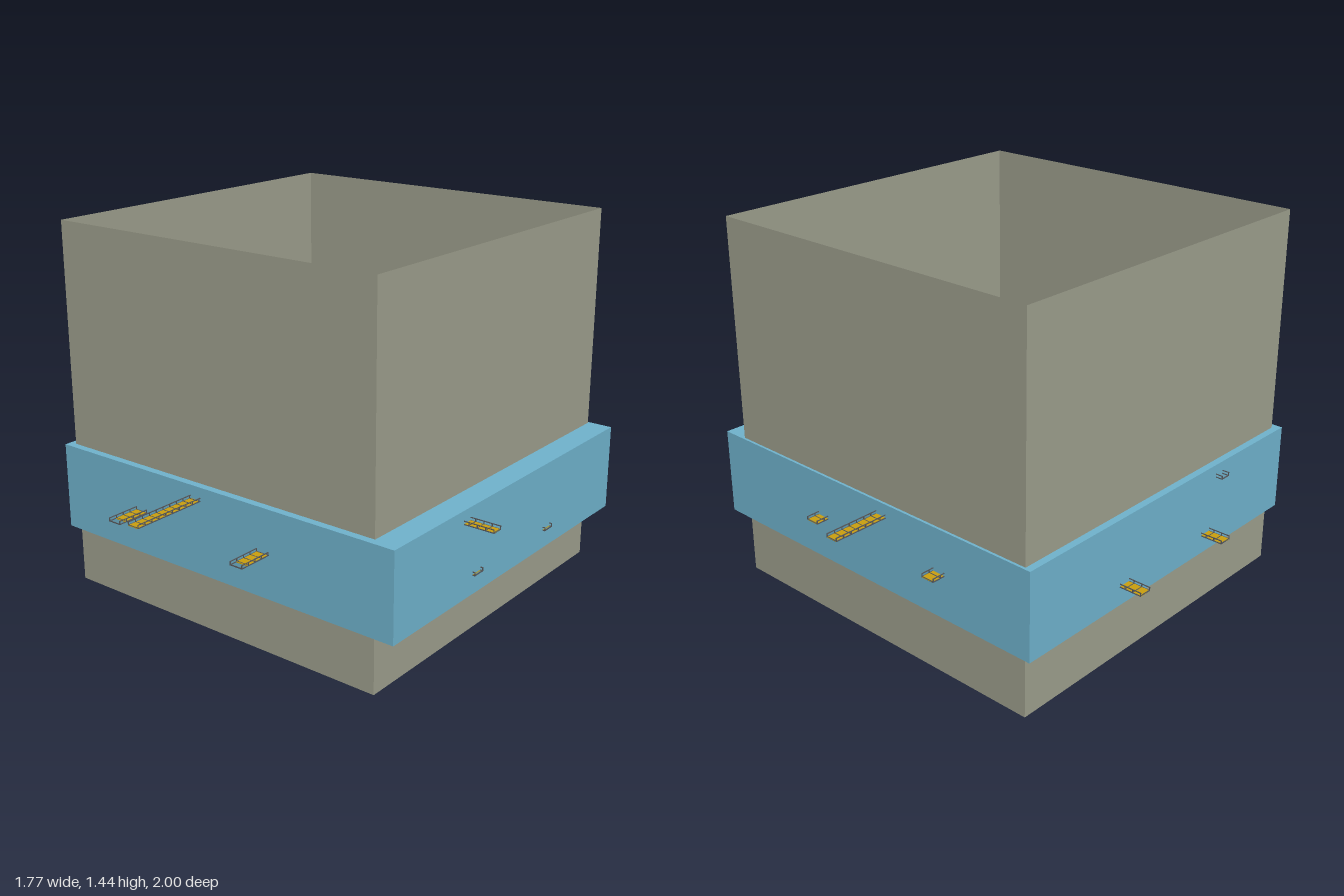
import * as THREE from 'three';

const mat = (name, color, side = THREE.FrontSide) => {
  const m = new THREE.MeshStandardMaterial({ color, side });
  m.name = name;
  return m;
};

export function createModel() {
  const model = new THREE.Group();
  const concrete = mat('concrete', 0x9c9e8c, THREE.DoubleSide);
  const water = mat('water', 0x6fb2cc);
  const gold = mat('gold', 0xc99f0e);
  const steel = mat('steel', 0x55575a);
  const roof = mat('light grey', 0xc4c4c4);
  const black = mat('black', 0x0c0c0c);
  const brown = mat('rust brown', 0xa0705c);
  const trim = mat('warm grey', 0x8a8478);

  // Box given by its minimum and maximum corners
  function box(parent, name, m, [x0, y0, z0], [x1, y1, z1]) {
    const mesh = new THREE.Mesh(new THREE.BoxGeometry(x1 - x0, y1 - y0, z1 - z0), m);
    mesh.position.set((x0 + x1) / 2, (y0 + y1) / 2, (z0 + z1) / 2);
    mesh.name = name;
    parent.add(mesh);
    return mesh;
  }

  // Open-topped hall: four thin walls and a floor
  const hall = new THREE.Group();
  hall.name = 'hall';
  hall.position.set(-0.054, 0, -0.049);
  model.add(hall);
  const W = 1.436, H = 1.44;
  for (let i = 0; i < 4; i++) {
    const wall = new THREE.Mesh(new THREE.PlaneGeometry(W, H), concrete);
    const a = i * Math.PI / 2;
    wall.position.set(Math.sin(a) * W / 2, H / 2, Math.cos(a) * W / 2);
    wall.rotation.y = a;
    wall.name = 'wall';
    hall.add(wall);
  }
  const floor = new THREE.Mesh(new THREE.PlaneGeometry(W, W), concrete);
  floor.rotation.x = Math.PI / 2;
  floor.name = 'floor';
  hall.add(floor);

  // Slab of water around and inside the hall
  box(model, 'water', water, [-0.8, 0.23, -0.777], [0.762, 0.57, 0.698]);

  // Walkway along local z: deck, cross bars, posts and handrails
  function walkway(alongX, centre, y, w, from, to, deckFrom, deckTo) {
    const g = new THREE.Group();
    g.name = 'walkway';
    const t = 0.003, h = 0.015, r = w / 2;
    box(g, 'deck', gold, [-r + t, y, deckFrom], [r - t, y + 0.003, deckTo]);
    const n = Math.round((to - from) / 0.033);
    for (let i = 0; i <= n; i++) {
      const z = from + (to - from - t) * i / n;
      box(g, 'crossBar', steel, [-r, y, z], [r, y + 0.004, z + t]);
      for (const s of [-1, 1]) {
        const x = s * (r - t / 2);
        box(g, 'post', steel, [x - t / 2, y, z], [x + t / 2, y + h, z + t]);
      }
    }
    for (const s of [-1, 1]) {
      const x = s * (r - t / 2);
      for (const ry of [y, y + h - t]) {
        box(g, 'rail', steel, [x - t / 2, ry, from], [x + t / 2, ry + t, to]);
      }
    }
    if (alongX) {
      g.rotation.y = Math.PI / 2;
      g.position.z = centre;
    } else g.position.x = centre;
    model.add(g);
  }
  walkway(false, -0.11, 0.516, 0.05, -1, 1, -1, 1);
  for (const x of [-0.39, 0.205]) walkway(false, x, 0.398, 0.056, -0.83, 0.835, -0.83, 0.805);
  for (const z of [-0.283, 0.203]) walkway(true, z, 0.303, 0.054, -0.89, 0.773, -0.89, 0.763);
  walkway(true, 0.273, 0.518, 0.045, -0.828, 0.882, -0.8, 0.882);

  // Machinery standing out of the water inside the hall
  const works = new THREE.Group();
  works.name = 'works';
  model.add(works);
  const y0 = 0.56, y1 = 0.63;

  // Two cabins with edged roofs
  for (const [x0, x1, z0, z1] of [[-0.45, -0.24, 0.045, 0.21], [0.15, 0.32, -0.2, 0.025]]) {
    box(works, 'cabinEdge', trim, [x0, y0, z0], [x1, y1, z1]);
    box(works, 'cabinRoof', roof, [x0 + 0.007, y1, z0 + 0.007], [x1 - 0.007, y1 + 0.004, z1 - 0.007]);
  }
  box(works, 'roofOpening', water, [-0.443, y1 + 0.004, 0.052], [-0.363, y1 + 0.006, 0.1]);
  box(works, 'roofHatch', water, [0.175, y1 + 0.004, -0.105], [0.2, y1 + 0.006, -0.08]);
  box(works, 'roofVent', trim, [-0.35, y1 + 0.004, 0.052], [-0.27, y1 + 0.012, 0.078]);
  box(works, 'roofVentBar', gold, [-0.34, y1 + 0.012, 0.064], [-0.28, y1 + 0.015, 0.074]);
  box(works, 'roofConsole', trim, [0.175, y1 + 0.004, -0.193], [0.3, y1 + 0.012, -0.165]);
  box(works, 'consoleStrip', black, [0.175, y1 + 0.004, -0.165], [0.3, y1 + 0.01, -0.16]);

  // Turned hatch on the second cabin
  const hatch = new THREE.Group();
  hatch.name = 'turnedHatch';
  hatch.position.set(0.277, y1 + 0.004, -0.03);
  hatch.rotation.y = Math.PI / 4;
  box(hatch, 'hatchFrame', black, [-0.028, 0, -0.025], [0.028, 0.008, 0.025]);
  box(hatch, 'hatchPanel', roof, [-0.018, 0.008, -0.015], [0.018, 0.011, 0.015]);
  works.add(hatch);

  // Thin screens beside the cabins
  for (const [x0, x1, z0, z1] of [
    [-0.45, -0.278, -0.113, -0.107], [-0.284, -0.278, -0.113, 0.045],
    [0.058, 0.064, -0.113, 0.11], [0.058, 0.15, -0.113, -0.107],
  ]) box(works, 'screen', steel, [x0, y0, z0], [x1, y1, z1]);

  // Pair of connecting pipes
  for (const z of [-0.03, 0.025]) {
    box(works, 'pipe', brown, [-0.28, 0.58, z - 0.006], [0.06, 0.592, z + 0.006]);
  }

  // Small gantry and the long striped beam
  box(works, 'gantry', gold, [0.06, 0.6, 0.085], [0.23, 0.615, 0.103]);
  for (const z of [0.083, 0.103]) {
    box(works, 'gantryRail', steel, [0.06, 0.6, z - 0.002], [0.23, 0.625, z + 0.002]);
  }
  box(works, 'beam', gold, [0.094, 0.64, -0.33], [0.1, 0.65, 0.34]);
  for (const [start, count] of [[-0.25, 8], [0.23, 5]]) {
    for (let i = 0; i < count; i++) {
      const z = start + i * 0.022;
      box(works, 'beamStripe', black, [0.092, 0.638, z], [0.102, 0.653, z + 0.016]);
    }
  }

  // Round black tank
  const tank = new THREE.Mesh(new THREE.CylinderGeometry(0.057, 0.057, 0.06, 24), black);
  tank.position.set(-0.11, 0.59, 0.277);
  tank.name = 'tank';
  works.add(tank);

  return model;
}
